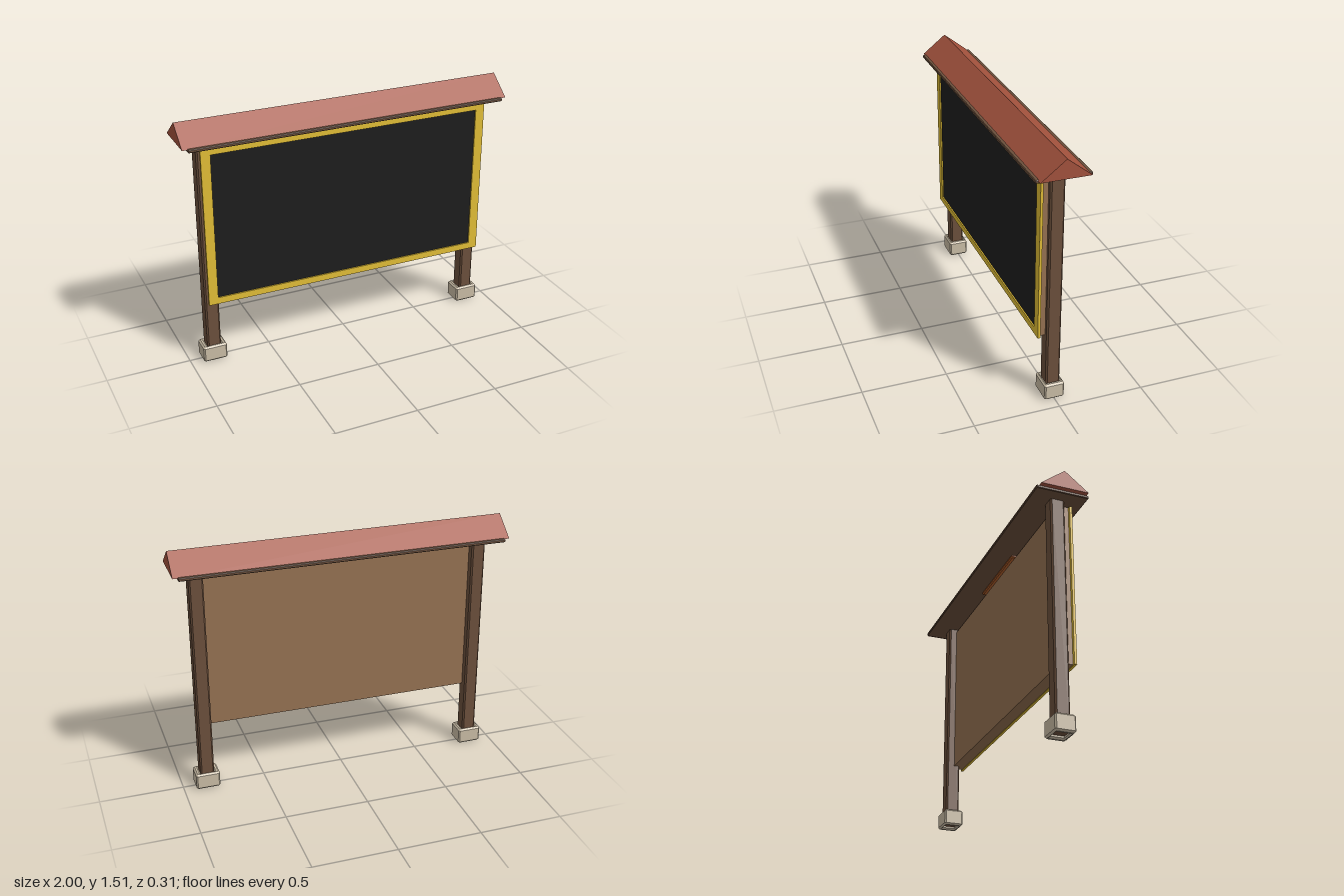
import * as THREE from 'three';

const mat = (name, color) => {
  const m = new THREE.MeshStandardMaterial({ color });
  m.name = name;
  return m;
};

export function createModel() {
  const group = new THREE.Group();
  const roofRed = mat('roof red', 0xa3523d);
  const darkWood = mat('dark wood', 0x6c503c);
  const panelWood = mat('panel wood', 0x967252);
  const frameYellow = mat('frame yellow', 0xe2be36);
  const slate = mat('slate black', 0x1d1d1d);
  const stone = mat('stone', 0xcabda6);
  const orange = mat('orange', 0xb8622c);

  const add = (name, geo, material) => {
    const m = new THREE.Mesh(geo, material);
    m.name = name;
    group.add(m);
    return m;
  };
  // Box given by its limits on each axis
  const box = (name, material, x0, x1, y0, y1, z0, z1) => {
    const m = add(name, new THREE.BoxGeometry(x1 - x0, y1 - y0, z1 - z0), material);
    m.position.set((x0 + x1) / 2, (y0 + y1) / 2, (z0 + z1) / 2);
    return m;
  };
  // Rectangle with cut corners, centred on the origin
  const outline = (w, h, c, T = THREE.Shape) => new T([
    [-w + c, -h], [w - c, -h], [w, -h + c], [w, h - c],
    [w - c, h], [-w + c, h], [-w, h - c], [-w, -h + c],
  ].map(([x, y]) => new THREE.Vector2(x, y)));
  // Upright extrusion from y0 to y1 with bevelled ends
  const upright = (shape, y0, y1, bevel) => {
    const g = new THREE.ExtrudeGeometry(shape, {
      depth: y1 - y0 - 2 * bevel, bevelEnabled: bevel > 0,
      bevelThickness: bevel, bevelSize: bevel, bevelOffset: -bevel, bevelSegments: 1,
    });
    return g.rotateX(-Math.PI / 2).translate(0, y0 + bevel, 0);
  };

  // Posts standing in hollow stone feet
  for (const [side, s] of [['left', 1], ['right', -1]]) {
    add(side + 'Post', upright(outline(0.042, 0.042, 0.009), 0.02, 1.395, 0), darkWood).position.x = s * 0.855;
    const foot = outline(0.072, 0.059, 0.008);
    foot.holes.push(outline(0.041, 0.041, 0.002, THREE.Path));
    add(side + 'Foot', upright(foot, 0, 0.1, 0.01), stone).position.x = s * 0.855;
  }

  // Notice board: thick wooden backing set between the posts, slate and raised frame
  box('backing', panelWood, -0.87, 0.87, 0.404, 1.372, 0.005, 0.076);
  box('slate', slate, -0.84, 0.84, 0.42, 1.36, 0.076, 0.084);
  const frame = outline(0.887, 0.486, 0.001);
  frame.holes.push(outline(0.831, 0.446, 0.001, THREE.Path));
  add('frame', new THREE.ExtrudeGeometry(frame, { depth: 0.015, bevelEnabled: false }), frameYellow)
    .position.set(0, 0.886, 0.077);

  // Lamp strip between board and eave, with bevelled ends
  add('lampStrip', upright(outline(0.255, 0.058, 0.006), 1.374, 1.394, 0.006), orange).position.z = 0.042;

  // Eave board and gabled roof
  add('eaveBoard', upright(outline(0.971, 0.157, 0.004), 1.389, 1.408, 0.004), darkWood);
  const gable = new THREE.Shape([
    new THREE.Vector2(-0.142, 1.404), new THREE.Vector2(0.142, 1.404), new THREE.Vector2(0, 1.515),
  ]);
  const roof = new THREE.ExtrudeGeometry(gable, { depth: 2, bevelEnabled: false });
  add('roof', roof.translate(0, 0, -1).rotateY(Math.PI / 2), roofRed);

  return group;
}
